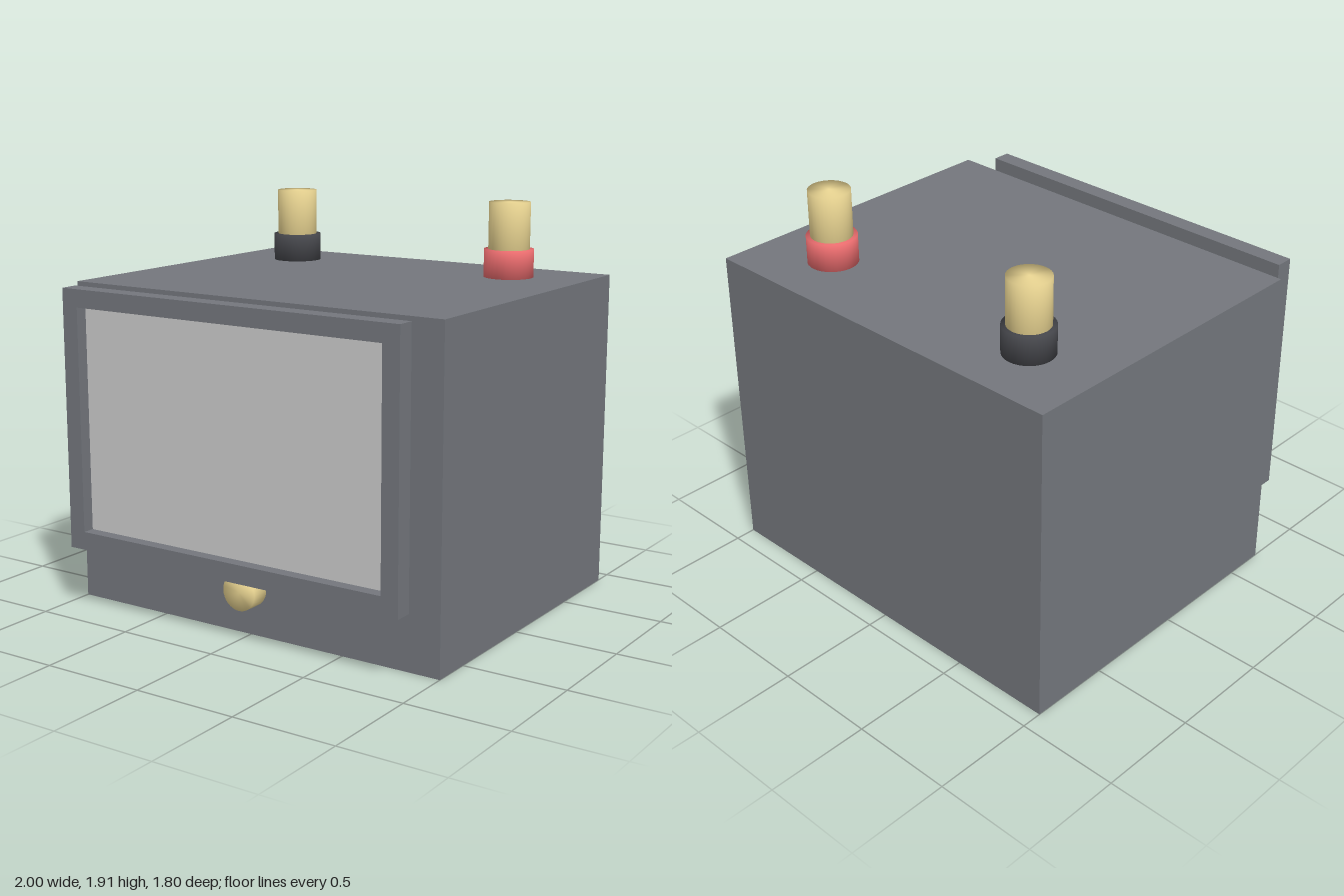
import * as THREE from 'three';
import { mergeVertices } from 'three/addons/utils/BufferGeometryUtils.js';

const mat = (color) => new THREE.MeshStandardMaterial({ color });

export function createModel() {
  const group = new THREE.Group();
  const casing = mat(0x74777d), brass = mat(0xeed995), red = mat(0xee6e70);
  const black = mat(0x46474c), grey = mat(0xcccccc);

  function add(name, geometry, material, x, y, z) {
    const mesh = new THREE.Mesh(geometry, material);
    mesh.name = name;
    mesh.position.set(x, y, z);
    group.add(mesh);
    return mesh;
  }
  const box = (w, h, d) => new THREE.BoxGeometry(w, h, d);

  // Cylinder with soft shading over its rims
  function softCylinder(r, h) {
    const g = new THREE.CylinderGeometry(r, r, h, 32);
    g.deleteAttribute('uv');
    g.deleteAttribute('normal');
    const merged = mergeVertices(g);
    merged.computeVertexNormals();
    return merged;
  }

  // Casing
  add('casing', box(2, 1.555, 1.6), casing, 0, 0.7775, -0.1);

  // Terminals on top
  for (const [side, x, color] of [['right', -0.62, black], ['left', 0.62, red]]) {
    add(side + 'TerminalCollar', softCylinder(0.12, 0.135), color, x, 1.6225, -0.57);
    add(side + 'TerminalPost', softCylinder(0.1, 0.225), brass, x, 1.8025, -0.57);
  }

  // Adjusting knob
  add('adjustingKnob', softCylinder(0.088, 0.09), brass, 0, 0.226, 0.745).rotation.x = Math.PI / 2;

  // Dial plate, floating behind the bezel
  add('dialPlate', box(1.64, 1.07, 0.05), grey, 0, 0.935, 0.765);

  // Scale marks fanned about the pivot
  const pivotY = 0.6;
  for (let i = -6; i <= 6; i++) {
    const a = i * THREE.MathUtils.degToRad(5.4);
    const mark = add('scaleMark', box(0.016, 0.08, 0.018), black,
      Math.sin(a) * 0.53, pivotY + Math.cos(a) * 0.53, 0.8);
    mark.rotation.z = -a;
  }

  // Needle and its pivot
  add('needle', box(0.02, 0.66, 0.012), red, 0, 0.82, 0.808);
  add('needlePivot', softCylinder(0.068, 0.025), brass, 0, pivotY, 0.803).rotation.x = Math.PI / 2;

  // Bezel: rectangular ring
  const rect = (C, x, y0, y1) => {
    const p = new C();
    p.moveTo(-x, y0);
    p.lineTo(x, y0);
    p.lineTo(x, y1);
    p.lineTo(-x, y1);
    p.closePath();
    return p;
  };
  const ring = rect(THREE.Shape, 0.91, 0.312, 1.555);
  ring.holes.push(rect(THREE.Path, 0.825, 0.4, 1.47));
  add('bezel', new THREE.ExtrudeGeometry(ring, { depth: 0.088, bevelEnabled: false }), casing, 0, 0, 0.812);

  // Window pane recessed in the bezel
  add('windowPane', box(1.65, 1.07, 0.02), grey, 0, 0.935, 0.832);

  return group;
}
